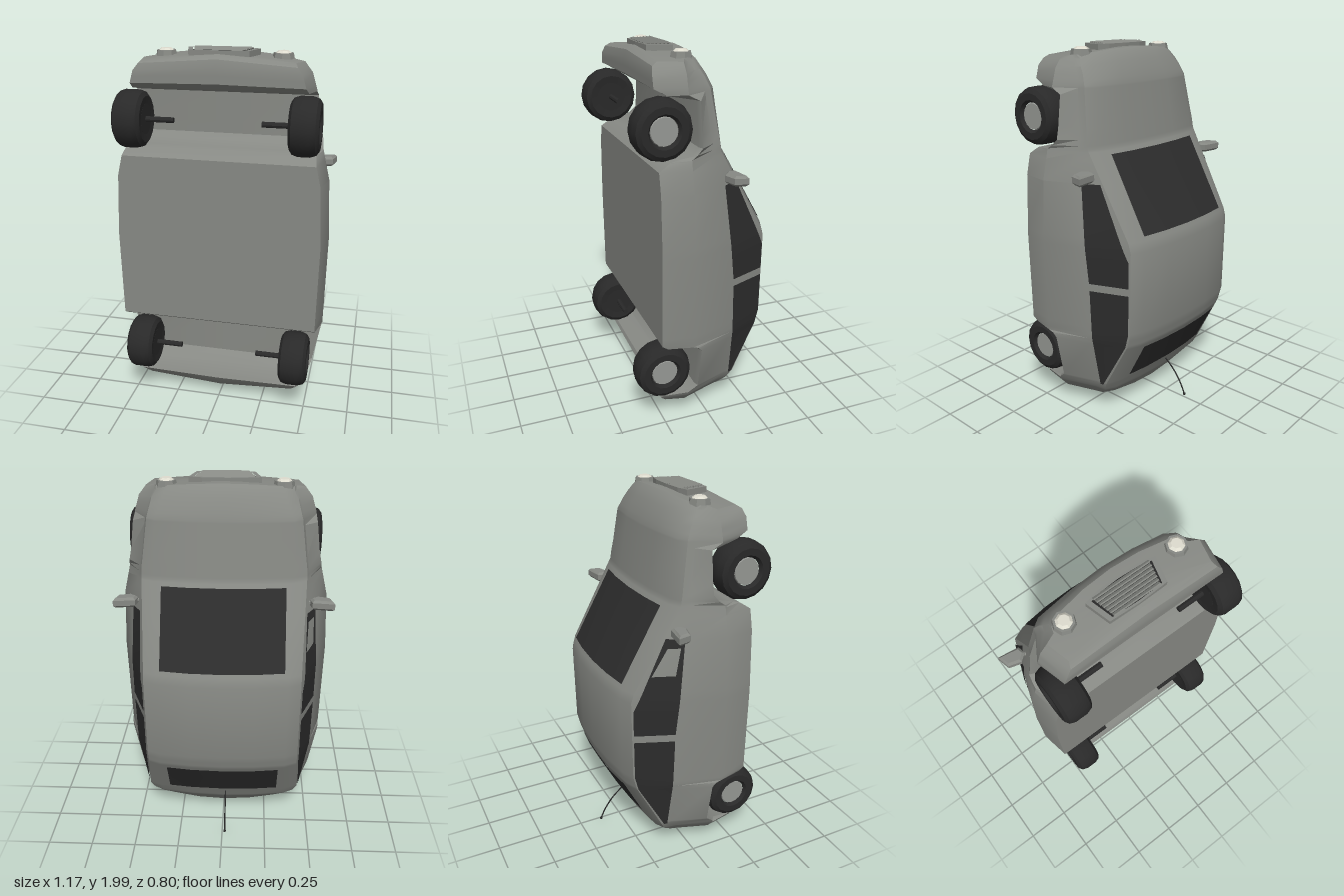
import * as THREE from 'three';
import { toCreasedNormals } from 'three/addons/utils/BufferGeometryUtils.js';

const mat = (name, color, side = THREE.FrontSide) =>
  Object.assign(new THREE.MeshStandardMaterial({ color, side }), { name });

// Piecewise linear lookup in a list of [length, value] pairs
function at(table, l) {
  if (l <= table[0][0]) return table[0][1];
  for (let i = 1; i < table.length; i++) {
    const [a, va] = table[i - 1], [b, vb] = table[i];
    if (l <= b) return va + (vb - va) * (l - a) / (b - a);
  }
  return table[table.length - 1][1];
}

// Body curves along the car's length (tail at 0, nose at 2)
const bottom = [[.03, -.17], [.06, -.22], [.125, -.26], [.15, -.25], [.165, -.14], [.21, -.08], [.455, -.08],
  [.48, -.1], [.49, -.25], [.51, -.28], [1.44, -.28], [1.48, -.22], [1.51, -.1], [1.54, -.07], [1.76, -.07],
  [1.79, -.22], [1.83, -.28], [1.91, -.28], [1.95, -.27], [1.97, -.24]];
const top = [[.03, -.01], [.06, .14], [.14, .205], [.2, .235], [.47, .375], [.55, .395], [1, .4], [1.05, .385],
  [1.49, .135], [1.8, .085], [1.87, .06], [1.95, .015], [1.97, -.01]];
const wide = [[.03, .4], [.06, .45], [.125, .49], [.2, .52], [.49, .575], [1, .585], [1.33, .57], [1.48, .535],
  [1.6, .51], [1.8, .485], [1.91, .46], [1.97, .42]];
const topWide = [[.03, .28], [.14, .36], [.2, .37], [.47, .35], [1.05, .35], [1.49, .37], [1.8, .36], [1.97, .3]];
const belt = [[.1, .05], [.2, .12], [.8, .11], [1.33, .05], [1.49, .03], [1.8, -.01]];
const bow = [[.03, .2], [.15, 0], [1.8, 0], [1.97, -.2]];
const CROWN = .03;
const stations = [...new Set([...bottom, ...top, ...wide].map((p) => p[0]))].sort((a, b) => a - b);

// Half cross-section from bottom centre to top centre, as [x, height]
function section(l) {
  const b = at(bottom, l), wm = at(wide, l), wt = at(topWide, l), hc = at(top, l);
  const ws = wm - Math.min(.07, wm - .37), ht = hc - CROWN, ha = ht - .03;
  const wa = Math.min(wt + .07, ws - .01);
  const hs = Math.min(at(belt, l), ha - .03);
  const hm = Math.max(b + .01, Math.min(-.12, hs - .02));
  return [[0, b], [wm - .03, b], [wm, hm], [ws, hs], [wa, ha], [wt, ht], [wt / 2, hc - CROWN / 4], [0, hc]];
}

function geometry(points, index) {
  const g = new THREE.BufferGeometry();
  g.setAttribute('position', new THREE.Float32BufferAttribute(points.flat(), 3));
  g.setIndex(index);
  return toCreasedNormals(g, .6);
}

function bodyGeometry() {
  const points = [], index = [];
  let n = 0;
  for (const l of stations) {
    const half = section(l);
    const ring = [...half, ...half.slice(1, -1).reverse().map(([x, h]) => [-x, h])];
    n = ring.length;
    for (const [x, h] of ring) points.push([x, h, l + at(bow, l) * x * x]);
  }
  const last = (stations.length - 1) * n, c = points.length;
  points.push([0, -.09, stations[0]], [0, -.12, stations[stations.length - 1]]);
  for (let j = 0; j < n; j++) {
    const k = (j + 1) % n;
    for (let a = 0; a < last; a += n) index.push(a + j, a + k, a + n + k, a + j, a + n + k, a + n + j);
    index.push(c, k, j, c + 1, last + j, last + k);
  }
  return geometry(points, index);
}

// Sheet from equal rows of points
function sheet(rows) {
  const w = rows[0].length, index = [];
  for (let i = 0; i < rows.length - 1; i++) {
    for (let j = 0; j < w - 1; j++) {
      const a = i * w + j;
      index.push(a, a + 1, a + w + 1, a, a + w + 1, a + w);
    }
  }
  return geometry(rows.flat(), index);
}

const between = (a, b) => [a, ...stations.filter((s) => s > a && s < b), b];

// Front or rear glass following the crowned top surface
function topGlass(l0, l1, w, lean) {
  return sheet(between(l0, l1).map((l) => {
    const wt = at(topWide, l);
    return [-w, -wt / 2, 0, wt / 2, w].map((x) => {
      const t = Math.abs(x) / wt;
      const drop = t < .5 ? t / 2 : .25 + (t - .5) * 1.5;
      return [x, at(top, l) - CROWN * drop + .006, l + lean];
    });
  }));
}

// Side glass following the slope between belt and roof edge
function sideGlass(l0, l1, low, high, s) {
  const ls = [...new Set([...between(l0, l1), ...high.map((p) => p[0])])].sort((a, b) => a - b);
  return sheet(ls.map((l) => {
    const [, , , [ws, hs], [wa, ha]] = section(l);
    return [at(low, l), Math.min(at(high, l), ha - .008)].map((h) =>
      [s * (ws + (wa - ws) * (h - hs) / (ha - hs) + .006), h + .002, l]);
  }));
}

export function createModel() {
  const paint = mat('grey paint', 0x878984), glass = mat('dark glass', 0x2c2c2c, THREE.DoubleSide);
  const rubber = mat('black rubber', 0x292929), metal = mat('light metal', 0x969894);
  const lens = mat('cream lens', 0xdedccf);
  const model = new THREE.Group(), car = new THREE.Group();
  car.name = 'car';
  car.rotation.x = -Math.PI / 2; // stands on its tail, roof to the back
  model.add(car);
  const add = (name, geo, material, x = 0, y = 0, z = 0, parent = car) => {
    const m = new THREE.Mesh(geo, material);
    m.name = name;
    m.position.set(x, y, z);
    parent.add(m);
    return m;
  };
  const disc = (r0, r1, len, sides) => toCreasedNormals(new THREE.CylinderGeometry(r0, r1, len, sides), .5);

  add('body', bodyGeometry(), paint);
  add('windshield', topGlass(1.07, 1.46, .33, .003), glass);
  add('rearWindow', topGlass(.235, .445, .315, -.003), glass);

  // Tyre profile: radius against width, wheel axis on y
  const tyre = [[.075, -.07], [.12, -.075], [.142, -.06], [.152, -.03], [.152, .03], [.142, .06], [.12, .075],
    [.085, .075], [.072, .055]].map((p) => new THREE.Vector2(...p));
  const low = [[.2, .143], [.8, .13], [1.33, .074]];

  for (const s of [1, -1]) {
    const side = s > 0 ? 'left' : 'right';
    add(side + 'FrontWindow', sideGlass(.81, 1.33, low, [[.95, .333], [1.325, .16]], s), glass);
    add(side + 'RearWindow', sideGlass(.2, .77, low, [[.2, .16], [.468, .333]], s), glass);

    // Wheels with hubs and axle stubs
    for (const [place, x, l] of [['Front', .45, 1.635], ['Rear', .437, .315]]) {
      const wheel = new THREE.Group();
      wheel.name = side + place + 'Wheel';
      wheel.position.set(s * x, -.25, l);
      wheel.rotation.z = -s * Math.PI / 2;
      car.add(wheel);
      add('tyre', toCreasedNormals(new THREE.LatheGeometry(tyre, 16), .6), rubber, 0, 0, 0, wheel);
      add('innerDisc', disc(.08, .08, .01, 16), rubber, 0, -.066, 0, wheel);
      add('hub', disc(.068, .074, .03, 16), metal, 0, .045, 0, wheel);
      add('axle', disc(.015, .015, .17, 8), rubber, 0, -.135, 0, wheel);
    }

    // Headlight and tail lights
    const lamp = (name, x, h, l, r, dir, glow) => {
      const g = new THREE.Group();
      g.name = side + name;
      g.position.set(s * x, h, l);
      g.rotation.set(dir * Math.PI / 2, 0, 0);
      car.add(g);
      add('rim', disc(r * .85, r, .045, 8), paint, 0, 0, 0, g);
      add('lens', disc(r * .45, r * .7, .012, 8), glow, 0, .027, 0, g);
    };
    lamp('Headlight', .307, -.09, 1.948, .06, 1, lens);
    lamp('TailLight', .25, -.05, .053, .055, -1, metal);
    lamp('ReverseLight', .15, -.055, .046, .024, -1, metal);

    // Door mirror on its arm
    const outline = new THREE.Shape([[.47, .145], [.46, .1], [.5, .07], [.57, .09], [.587, .16]]
      .map(([x, h]) => new THREE.Vector2(s * x, h)));
    add(side + 'Mirror', new THREE.ExtrudeGeometry(outline, {
      depth: .03, bevelThickness: .012, bevelSize: .012, bevelOffset: -.012, bevelSegments: 1,
    }), paint, 0, 0, 1.355);
    const arm = add(side + 'MirrorArm', disc(.01, .01, .09, 6), paint, s * .445, .1, 1.37);
    arm.rotation.z = Math.PI / 2;
  }

  // Grille: dark backing, frame and slats
  const hexagon = (k) => [[0, -.063], [.12, -.068], [.19, -.085], [.155, -.215], [0, -.222],
    [-.155, -.215], [-.19, -.085], [-.12, -.068]].map(([x, h]) => new THREE.Vector2(x * k, (h + .145) * k - .145));
  const frame = new THREE.Shape(hexagon(1));
  frame.holes.push(new THREE.Path(hexagon(.86)));
  const extrude = (shape, depth) => new THREE.ExtrudeGeometry(shape, { depth, bevelEnabled: false });
  add('grilleFrame', extrude(frame, .03), paint, 0, 0, 1.957);
  add('grilleBacking', extrude(new THREE.Shape(hexagon(.9)), .009), rubber, 0, 0, 1.966);
  for (let i = 0; i < 7; i++) {
    const slat = add('grilleSlat', new THREE.BoxGeometry(.305 - i * .009, .016, .008), paint, 0, -.088 - i * .0185, 1.987);
    slat.rotation.x = -.6;
  }

  // Curved aerial with a small tip
  const path = new THREE.CatmullRomCurve3([[.22, .2], [.29, .14], [.34, .075], [.372, .012]]
    .map(([h, l]) => new THREE.Vector3(-.015, h, l)));
  add('aerial', new THREE.TubeGeometry(path, 12, .004, 6), rubber);
  add('aerialTip', new THREE.SphereGeometry(.008, 8, 6), rubber, -.015, .373, .008);
  return model;
}
